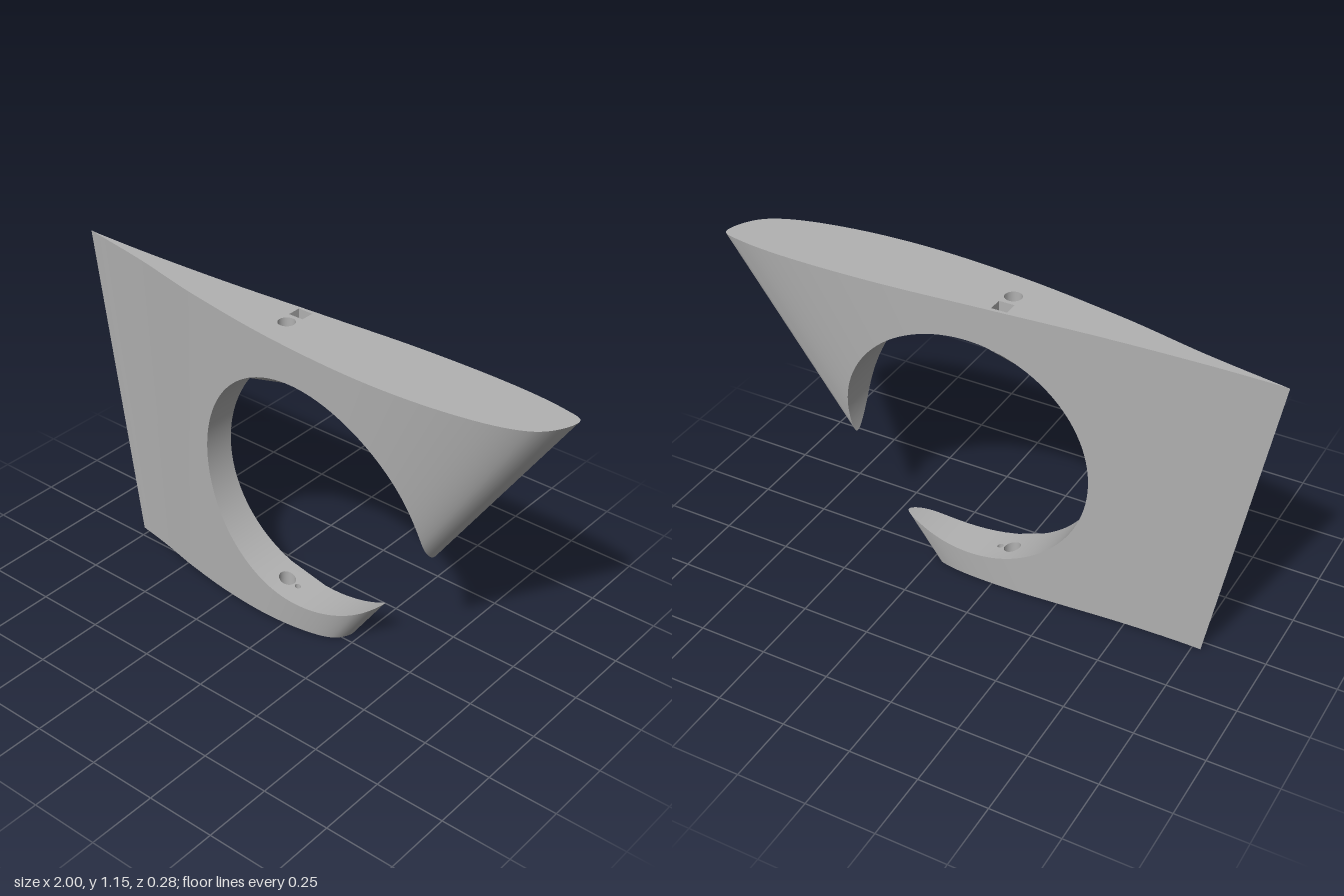
import * as THREE from 'three';

const H = 1.15;                          // height of the fin
const CX = 0.095, CY = 0.5625, R = 0.4525; // big round cut-out

// Aerofoil half-depths at even angles, from leading edge to trailing edge
const FRONT = [-0.085, 0.043, 0.112, 0.138, 0.113, 0.052, -0.021, -0.061, -0.075];
const BACK = [-0.085, -0.124, -0.144, -0.141, -0.115, -0.088, -0.075, -0.073, -0.075];
const section = new THREE.SplineCurve(
  [...BACK.slice(1).reverse(), ...FRONT].map((z, i) => new THREE.Vector2(i, z)));

// Point on the tapered fin: u = -1 trailing edge, 1 leading edge; t = 0 bottom, 1 top
function finPoint(u, side, t) {
  const s = 0.5 + 0.5 * t;
  const angle = Math.acos(THREE.MathUtils.clamp(u, -1, 1)) / Math.PI;
  const z = section.getPoint(0.5 + 0.5 * side * angle).y;
  return new THREE.Vector3(s * u - 0.28 * (1 - t), H * t, s * z);
}

// Where the straight line of constant u meets the cut-out
function cut(u) {
  const a = 0.5 * u - 0.28 - CX, b = 0.5 * u + 0.28;
  const A = b * b + H * H, B = a * b - H * CY, C = a * a + CY * CY - R * R;
  const disc = B * B - A * C, root = Math.sqrt(Math.max(0, disc));
  return { disc, lo: (-B - root) / A, hi: (-B + root) / A };
}

// Grid surface from a point function
function grid(nx, ny, point, flip = false) {
  const pos = [], index = [];
  for (let j = 0; j <= ny; j++)
    for (let i = 0; i <= nx; i++) pos.push(...point(i, j).toArray());
  for (let j = 0; j < ny; j++)
    for (let i = 0; i < nx; i++) {
      const a = j * (nx + 1) + i, b = a + 1, d = a + nx + 1, c = d + 1;
      if (flip) index.push(a, d, b, b, d, c);
      else index.push(a, b, d, b, c, d);
    }
  const g = new THREE.BufferGeometry();
  g.setAttribute('position', new THREE.Float32BufferAttribute(pos, 3));
  g.setIndex(index);
  g.computeVertexNormals();
  return g;
}

// Plate in plan (x, -z) with holes, lifted to height(x)
function plate(outline, holes, height, faceDown) {
  const shape = new THREE.Shape(outline);
  shape.holes = holes.map(h => new THREE.Path(h));
  const g = new THREE.ShapeGeometry(shape).rotateX(-Math.PI / 2);
  const p = g.attributes.position;
  for (let i = 0; i < p.count; i++) p.setY(i, height(p.getX(i)));
  if (faceDown) g.setIndex([...g.index.array].reverse());
  g.computeVertexNormals();
  return g;
}

// Make the cut-out wall normals point at its axis
function roundNormals(g) {
  const p = g.attributes.position, n = g.attributes.normal;
  for (let i = 0; i < p.count; i++) {
    const v = new THREE.Vector3(CX - p.getX(i), CY - p.getY(i), 0).normalize();
    n.setXYZ(i, v.x, v.y, 0);
  }
  return g;
}

function circle(x, z, r, n = 24) {
  return Array.from({ length: n }, (_, i) => {
    const a = i / n * Math.PI * 2;
    return new THREE.Vector2(x + r * Math.cos(a), -z + r * Math.sin(a));
  });
}

export function createModel() {
  const group = new THREE.Group();
  const grey = new THREE.MeshStandardMaterial({ color: 0xb2b2b2 });
  grey.name = 'grey';
  const add = (name, geometry) => {
    const mesh = new THREE.Mesh(geometry, grey);
    mesh.name = name;
    group.add(mesh);
  };

  // Line that just touches the cut-out
  let a = -1, b = 0;
  for (let i = 0; i < 50; i++) {
    const m = (a + b) / 2;
    if (cut(m).disc < 0) a = m; else b = m;
  }
  const touch = b;

  // Spacing along the chord, tighter at the touching line and leading edge
  const solid = Array.from({ length: 24 }, (_, i) => -1 + (touch + 1) * i / 24);
  const open = Array.from({ length: 81 }, (_, i) =>
    touch + (1 - touch) * (1 - Math.cos(Math.PI * i / 80)) / 2);
  const us = [...solid, ...open];
  const loop = [...us.map(u => [u, 1]), ...us.slice(0, -1).reverse().map(u => [u, -1])];

  // Bores: shared round hole, square slot above, pin hole below
  const bore = circle(-0.045, -0.005, 0.03);
  const slot = [[-0.073, 0.05], [-0.017, 0.05], [-0.017, 0.1], [-0.073, 0.1]]
    .map(p => new THREE.Vector2(...p));
  const pin = circle(0.002, -0.005, 0.011, 16);

  const halves = [
    { name: 'upper', key: 'hi', end: 1, sign: 1, holes: [bore, slot] },
    { name: 'lower', key: 'lo', end: 0, sign: -1, holes: [bore, pin] },
  ];
  for (const { name, key, end, sign, holes } of halves) {
    const upper = sign > 0;
    const arc = x => CY + sign * Math.sqrt(R * R - (x - CX) ** 2);

    // Outer skin, wrapping around the leading edge
    add(name + 'Skin', grid(loop.length - 1, 1, (i, j) => {
      const [u, side] = loop[i], t = cut(u)[key];
      return finPoint(u, side, (j === 1) === upper ? end : t);
    }));

    // Flat end cap
    const rim = loop.slice(0, -1).map(([u, side]) => {
      const p = finPoint(u, side, end);
      return new THREE.Vector2(p.x, -p.z);
    });
    add(name + 'Cap', plate(rim, holes, () => H * end, !upper));

    // Cut-out wall, with a pierced patch where the bores come through
    const wall = (u, side) => finPoint(u, side, cut(u)[key]);
    const inside = open.map((u, i) => i).filter(i => {
      const x = wall(open[i], 1).x;
      return i > 5 && x > -0.13 && x < 0.07;
    });
    const first = inside[0], last = inside[inside.length - 1];
    for (const [from, to] of [[0, first], [last, 80]])
      add(name + 'CutoutWall', roundNormals(grid(to - from, 1,
        (i, j) => wall(open[from + i], j ? 1 : -1), !upper)));
    const flat = side => inside.map(i => {
      const p = wall(open[i], side);
      return new THREE.Vector2(p.x, -p.z);
    });
    add(name + 'PiercedWall', roundNormals(
      plate([...flat(1), ...flat(-1).reverse()], holes, arc, upper)));

    // Inner sides of the bores, facing inwards
    for (const hole of holes) {
      const n = hole.length;
      const tube = grid(n, 1, (i, j) => {
        const p = hole[i % n];
        return new THREE.Vector3(p.x, (j === 1) === upper ? H * end : arc(p.x), -p.y);
      }, true);
      add(name + 'Bore', n === 4 ? flatten(tube) : tube);
    }
  }
  return group;
}

// Hard edges for the square slot
function flatten(g) {
  const f = g.toNonIndexed();
  f.computeVertexNormals();
  return f;
}
